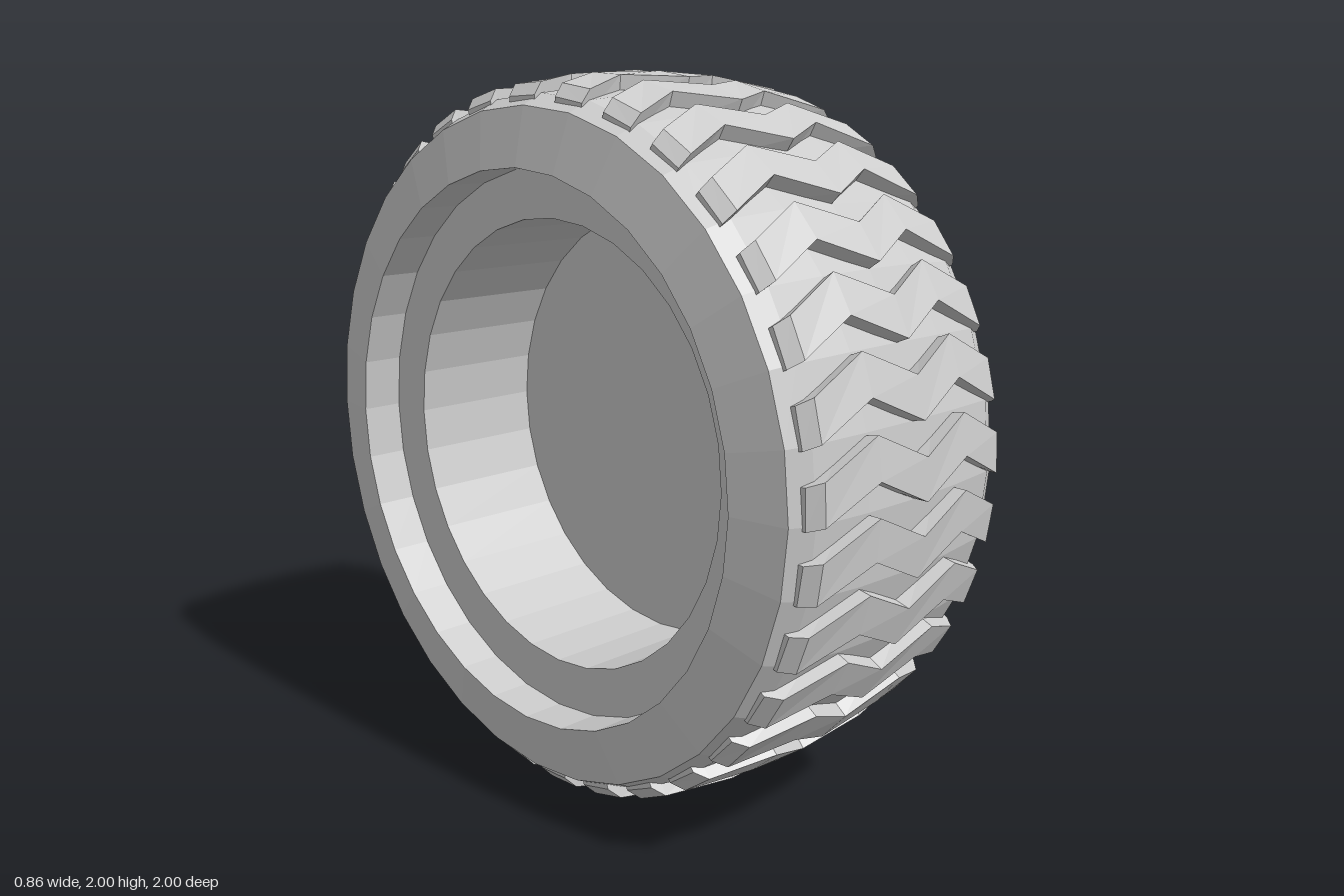
import * as THREE from 'three';

const material = new THREE.MeshStandardMaterial({ color: 0xcccccc, flatShading: true });
const SEGMENTS = 32;
const TREADS = 32;

// Profile of [radius, x] pairs, turned around the x axle
function turned(name, profile, segments = SEGMENTS) {
  const points = profile.map(([r, x]) => new THREE.Vector2(r, x));
  const geometry = new THREE.LatheGeometry(points, segments);
  geometry.rotateZ(-Math.PI / 2);
  const mesh = new THREE.Mesh(geometry, material);
  mesh.name = name;
  return mesh;
}

// One zigzag tread bar lofted across the width of the tyre
function treadGeometry() {
  // x, top radius, angular offset
  const stations = [
    [-0.37, 0.935, -0.01], [-0.34, 0.968, 0], [-0.17, 0.992, 0.08], [0, 1, 0],
    [0.17, 0.992, 0.08], [0.34, 0.968, 0], [0.37, 0.935, -0.01],
  ];
  const width = 0.11, floor = 0.9;
  const positions = [], index = [];
  const quad = (a, b, c, d) => index.push(a, b, c, a, c, d);
  for (const [x, top, shift] of stations) {
    for (const [r, a] of [[floor, shift], [top, shift], [top, shift + width], [floor, shift + width]]) {
      positions.push(x, r * Math.sin(a), r * Math.cos(a));
    }
  }
  const last = (stations.length - 1) * 4;
  for (let i = 0; i < last; i += 4) {
    for (let k = 0; k < 4; k++) {
      const n = (k + 1) % 4;
      quad(i + k, i + 4 + k, i + 4 + n, i + n);
    }
  }
  quad(0, 1, 2, 3);
  quad(last, last + 3, last + 2, last + 1);
  const geometry = new THREE.BufferGeometry();
  geometry.setAttribute('position', new THREE.Float32BufferAttribute(positions, 3));
  geometry.setIndex(index);
  geometry.computeVertexNormals();
  return geometry;
}

export function createModel() {
  const model = new THREE.Group();
  model.name = 'wheel';
  const wheel = new THREE.Group();
  wheel.position.y = 1;
  model.add(wheel);

  // Tyre carcass, from the stepped inner lip over the tread to the outer lip
  wheel.add(turned('tyre', [
    [0.62, -0.31], [0.755, -0.31], [0.755, -0.43], [0.91, -0.4], [0.94, -0.34],
    [0.957, -0.17], [0.962, 0], [0.957, 0.17], [0.94, 0.34], [0.91, 0.4],
    [0.755, 0.43], [0.59, 0.4], [0.59, 0.25],
  ]));

  // Deep open barrel behind the wheel face
  wheel.add(turned('rimBarrel', [[0, 0.09], [0.62, 0.09], [0.62, -0.31]]));

  // Dished wheel face with a recessed centre
  wheel.add(turned('wheelFace', [
    [0.59, 0.25], [0.32, 0.36], [0.225, 0.345], [0.225, 0.24], [0.15, 0.24],
  ]));
  wheel.add(turned('hubCap', [
    [0.15, 0.24], [0.15, 0.34], [0.105, 0.34], [0.105, 0.32], [0, 0.32],
  ]));

  // Zigzag tread bars
  const bar = treadGeometry();
  const tread = new THREE.Group();
  tread.name = 'tread';
  for (let i = 0; i < TREADS; i++) {
    const mesh = new THREE.Mesh(bar, material);
    mesh.name = 'treadBar';
    mesh.rotation.x = -(i / TREADS) * Math.PI * 2;
    tread.add(mesh);
  }
  wheel.add(tread);

  // Ring of sixteen lug rings, tilted to lie on the dished face
  const ring = new THREE.TorusGeometry(0.036, 0.009, 4, 8);
  ring.rotateY(Math.PI / 2);
  ring.scale(1.4, 0.85, 1);
  ring.rotateZ(Math.atan2(0.11, 0.27));
  ring.translate(0.311, 0.453, 0);
  const lugs = new THREE.Group();
  lugs.name = 'lugRings';
  for (let i = 0; i < 16; i++) {
    const mesh = new THREE.Mesh(ring, material);
    mesh.name = 'lugRing';
    mesh.rotation.x = (i / 16) * Math.PI * 2;
    lugs.add(mesh);
  }
  wheel.add(lugs);

  return model;
}
